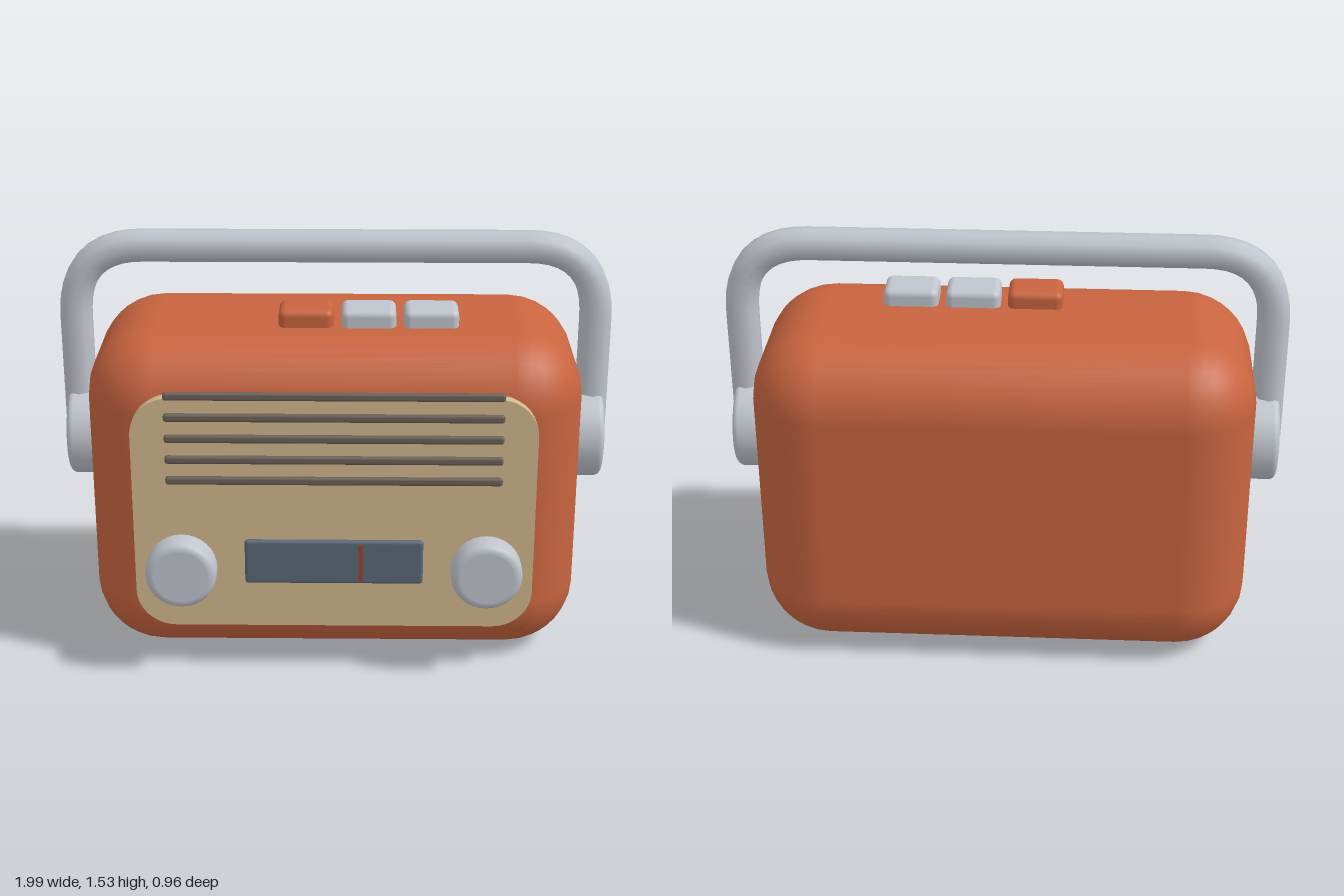
import * as THREE from 'three';
import { RoundedBoxGeometry } from 'three/addons/geometries/RoundedBoxGeometry.js';

const mat = (name, color) => {
  const m = new THREE.MeshStandardMaterial({ color });
  m.name = name;
  return m;
};

export function createModel() {
  const radio = new THREE.Group();
  radio.name = 'portableRadio';

  const terracotta = mat('terracotta', 0xc8643f);
  const cream = mat('cream', 0xd0b88c);
  const silver = mat('silver', 0xc0c4cc);
  const slate = mat('slate', 0x5a6878);
  const darkBrown = mat('darkBrown', 0x6b6058);
  const needleRed = mat('needleRed', 0xa04028);

  const add = (name, geometry, material, x = 0, y = 0, z = 0) => {
    const mesh = new THREE.Mesh(geometry, material);
    mesh.name = name;
    mesh.position.set(x, y, z);
    radio.add(mesh);
    return mesh;
  };

  // Disc with softly rounded rims, rising along +y from its base
  const roundedDisc = (radius, height, bevel) => {
    const pts = [[0, 0], [radius - bevel - 0.003, 0]];
    const steps = 4;
    for (let i = 0; i <= steps; i++) {
      const a = (i / steps) * Math.PI / 2;
      pts.push([radius - bevel + bevel * Math.sin(a), bevel - bevel * Math.cos(a)]);
    }
    for (let i = 0; i <= steps; i++) {
      const a = (i / steps) * Math.PI / 2;
      pts.push([radius - bevel + bevel * Math.cos(a), height - bevel + bevel * Math.sin(a)]);
    }
    pts.push([radius - bevel - 0.003, height], [0, height]);
    return new THREE.LatheGeometry(pts.map(([x, y]) => new THREE.Vector2(x, y)), 32);
  };

  // Body
  add('body', new RoundedBoxGeometry(1.77, 1.225, 0.825, 4, 0.25), terracotta, 0, 0.6125, -0.0675);

  // Front panel with rounded corners
  const w = 0.71, h = 0.44, r = 0.14;
  const outline = new THREE.Shape();
  outline.absarc(w - r, h - r, r, 0, Math.PI / 2);
  outline.absarc(-w + r, h - r, r, Math.PI / 2, Math.PI);
  outline.absarc(-w + r, -h + r, r, Math.PI, Math.PI * 1.5);
  outline.absarc(w - r, -h + r, r, Math.PI * 1.5, Math.PI * 2);
  outline.closePath();
  const panel = new THREE.ExtrudeGeometry(outline, { depth: 0.045, bevelEnabled: false, curveSegments: 8 });
  add('frontPanel', panel, cream, 0, 0.615, 0.33);

  // Speaker slats
  const slat = new RoundedBoxGeometry(1.18, 0.03, 0.022, 2, 0.01);
  for (let i = 0; i < 5; i++) add('speakerSlat', slat, darkBrown, 0, 1.066 - i * 0.079, 0.38);

  // Tuning window and needle
  add('tuningWindow', new RoundedBoxGeometry(0.635, 0.17, 0.035, 2, 0.012), slate, 0, 0.435, 0.372);
  add('tuningNeedle', new THREE.BoxGeometry(0.014, 0.145, 0.009), needleRed, 0.095, 0.435, 0.392);

  // Knobs and handle pivots, mirrored
  const knob = roundedDisc(0.126, 0.107, 0.026);
  knob.rotateX(Math.PI / 2);
  for (const side of [-1, 1]) {
    add('knob', knob, silver, side * 0.54, 0.42, 0.373);
    const pivot = roundedDisc(0.168, 0.12, 0.022);
    pivot.rotateZ(-side * Math.PI / 2);
    add('handlePivot', pivot, silver, side * 0.86, 0.765, -0.065);
  }

  // Top buttons
  const button = new RoundedBoxGeometry(0.195, 0.1, 0.15, 3, 0.025);
  [-0.102, 0.12, 0.342].forEach((x, i) => {
    add('topButton', button, i === 0 ? terracotta : silver, x, 1.235, 0.04);
  });

  // Carrying handle
  const v = (x, y) => new THREE.Vector3(x, y, 0);
  const path = new THREE.CurvePath();
  path.add(new THREE.LineCurve3(v(-0.94, 0.765), v(-0.94, 1.21)));
  path.add(new THREE.QuadraticBezierCurve3(v(-0.94, 1.21), v(-0.94, 1.472), v(-0.69, 1.472)));
  path.add(new THREE.LineCurve3(v(-0.69, 1.472), v(0.69, 1.472)));
  path.add(new THREE.QuadraticBezierCurve3(v(0.69, 1.472), v(0.94, 1.472), v(0.94, 1.21)));
  path.add(new THREE.LineCurve3(v(0.94, 1.21), v(0.94, 0.765)));
  add('handle', new THREE.TubeGeometry(path, 72, 0.059, 10, false), silver, 0, 0, -0.061);

  return radio;
}
